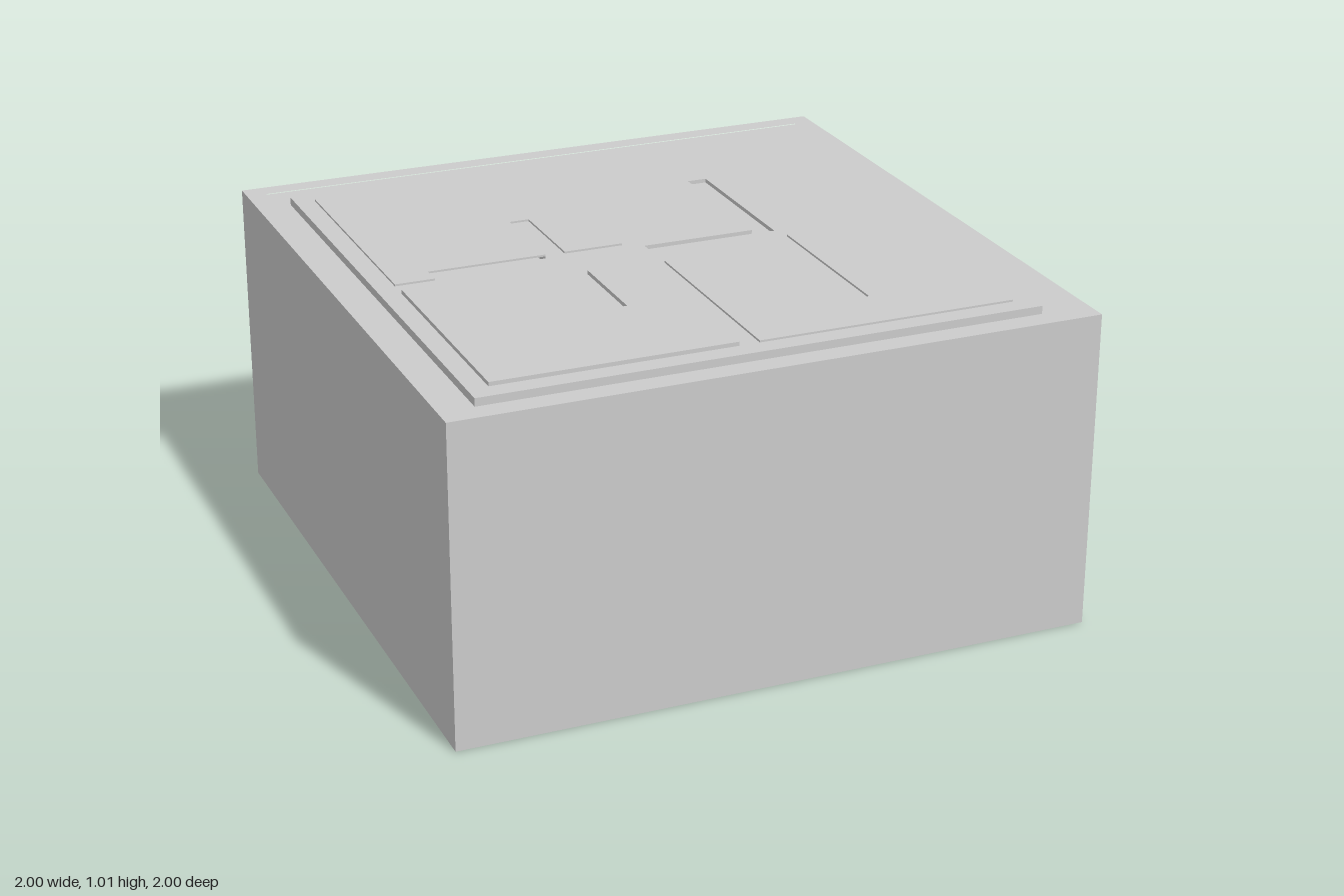
import * as THREE from 'three';

const U = 1 / 16;          // layout grid step
const STEP = 0.1 * U;      // height of one relief level
const BASE = 1 - 4 * STEP; // level of the deepest cuts

const rect = (x0, z0, x1, z1) => [[x0, z0], [x1, z0], [x1, z1], [x0, z1]];
const toPoints = (pts) => pts.map(([x, z]) => new THREE.Vector2(x * U, -z * U));

export function createModel() {
  const model = new THREE.Group();
  const material = new THREE.MeshStandardMaterial({ color: 0xcccccc, flatShading: true });

  // Vertical slab from y0 to y1 with a plan outline of [x, z] grid points
  function slab(name, outline, y0, y1, holes = []) {
    const shape = new THREE.Shape(toPoints(outline));
    for (const hole of holes) shape.holes.push(new THREE.Path(toPoints(hole)));
    const geometry = new THREE.ExtrudeGeometry(shape, { depth: y1 - y0, bevelEnabled: false });
    geometry.rotateX(-Math.PI / 2).translate(0, y0, 0);
    const mesh = new THREE.Mesh(geometry, material);
    mesh.name = name;
    model.add(mesh);
  }

  // Channels: a bar along the central aisle with a stem reaching into the panel
  const backLeftCut = [[-11, 0], [-11, -1], [-5, -1], [-5, -6], [-4, -6], [-4, -1], [-1, -1], [-1, 0]];
  const frontRightCut = [[0, 1], [7, 1], [7, 10], [6, 10], [6, 2], [0, 2]];
  const recess = rect(0, -13, 13, 0);

  // Body, outer rim and the plateau inside the square groove
  slab('body', rect(-16, -16, 16, 16), 0, BASE);
  slab('rim', rect(-16, -16, 16, 16), BASE, 1, [rect(-15, -15, 15, 15)]);
  slab('plateau', rect(-14, -14, 14, 14), BASE, 1, [recess, backLeftCut, frontRightCut]);

  // Floors of the channels cut into the plateau
  slab('backChannelFloor', backLeftCut, BASE, 1 - STEP);
  slab('frontChannelFloor', frontRightCut, BASE, 1 - STEP);

  // Sunken panel, its channel left open down to the body
  slab('sunkenPanel', [[0, -13], [13, -13], [13, 0], [7, 0], [7, -9], [6, -9], [6, -1], [0, -1]],
    BASE, 1 - 2 * STEP);

  // Raised panels, notched by their channels
  slab('backRaisedPanel', [[-13, -13], [-1, -13], [-1, -1], [-4, -1], [-4, -6], [-5, -6], [-5, -1],
    [-11, -1], [-11, 0], [-13, 0]], 1, 1 + STEP);
  slab('frontRaisedPanel', [[0, 2], [6, 2], [6, 10], [7, 10], [7, 1], [13, 1], [13, 13], [0, 13]],
    1, 1 + STEP);
  slab('tallRaisedPanel', [[-13, 1], [-11, 1], [-11, 2], [-5, 2], [-5, 7], [-4, 7], [-4, 2],
    [-1, 2], [-1, 13], [-13, 13]], 1, 1 + 2 * STEP);

  return model;
}
